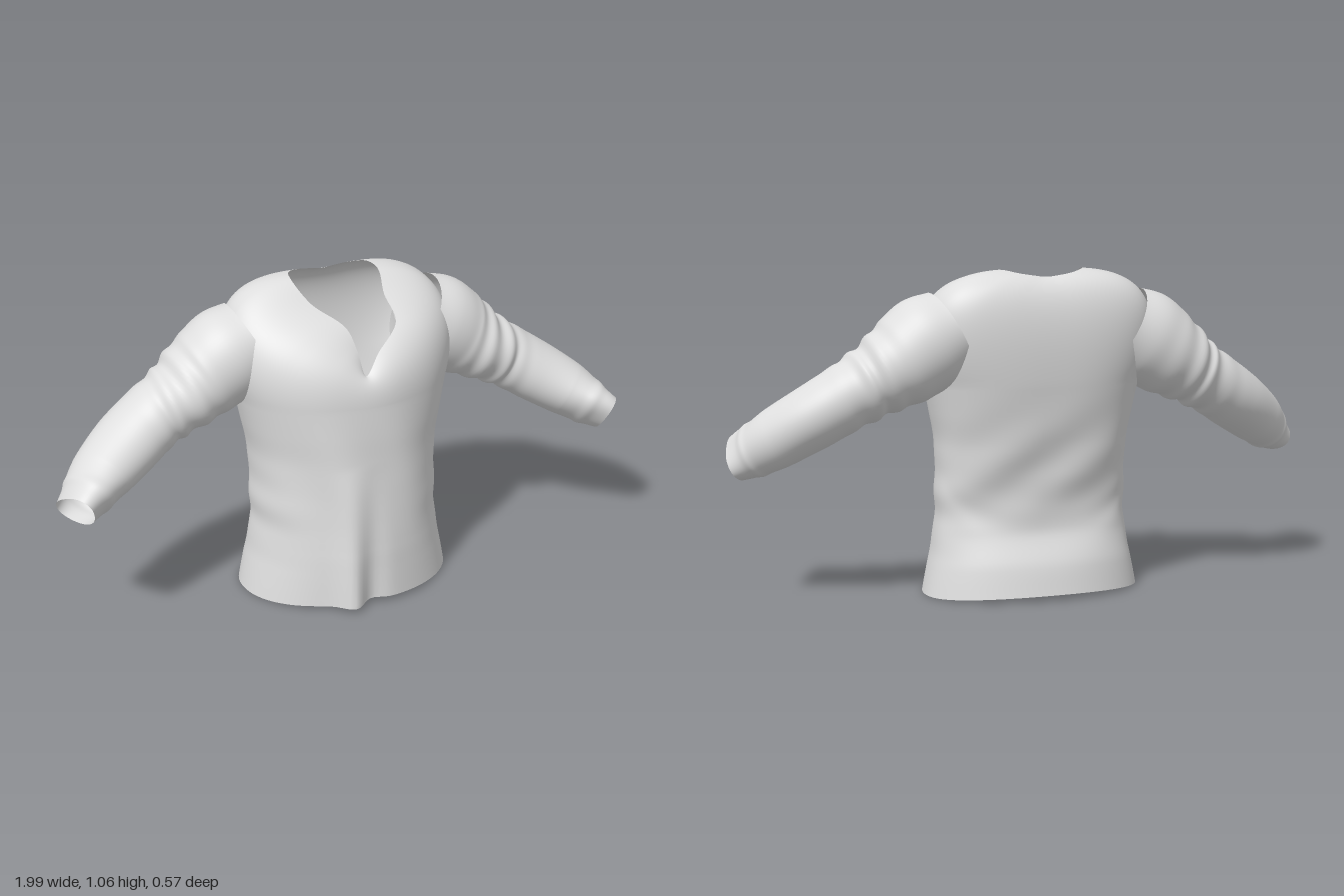
import * as THREE from 'three';

const V = (x, y, z) => new THREE.Vector3(x, y, z);
const bump = (d, w) => Math.exp(-(d * d) / (w * w));
const lerp = THREE.MathUtils.lerp;

// Surface closed around u, open along v, smooth normals
function loft(fn, nu, nv) {
  const pos = [], idx = [];
  for (let j = 0; j <= nv; j++)
    for (let i = 0; i < nu; i++) pos.push(...fn(i / nu, j / nv).toArray());
  for (let j = 0; j < nv; j++)
    for (let i = 0; i < nu; i++) {
      const k = (i + 1) % nu;
      const a = j * nu + i, b = j * nu + k, c = a + nu, d = b + nu;
      idx.push(a, b, d, a, d, c);
    }
  const g = new THREE.BufferGeometry();
  g.setAttribute('position', new THREE.Float32BufferAttribute(pos, 3));
  g.setIndex(idx);
  g.computeVertexNormals();
  return g;
}

// Body sizes every 0.1 of height: half width, front depth, back depth
const bodySizes = new THREE.CatmullRomCurve3([
  V(0.365, 0.25, 0.285), V(0.345, 0.25, 0.265), V(0.325, 0.248, 0.228), V(0.32, 0.242, 0.215),
  V(0.32, 0.235, 0.228), V(0.322, 0.228, 0.243), V(0.34, 0.224, 0.258), V(0.36, 0.219, 0.272),
]);

// Neck edge with open front slit, from front centre round by the left
const neckEdge = new THREE.CatmullRomCurve3([
  V(-0.01, 0.8, 0.178), V(0.045, 0.86, 0.15), V(0.128, 0.935, 0.1), V(0.132, 0.995, 0),
  V(0.15, 1.05, -0.09), V(0.135, 1.06, -0.15), V(0.09, 1.05, -0.19), V(0.045, 1.043, -0.2),
  V(0, 1.038, -0.2), V(-0.045, 1.043, -0.2), V(-0.09, 1.05, -0.19), V(-0.14, 1.06, -0.15),
  V(-0.155, 1.055, -0.09), V(-0.12, 0.995, -0.005), V(-0.04, 0.935, 0.085), V(-0.022, 0.87, 0.137),
], true);

const CHEST = 0.7, ZC = -0.05;

// Horizontal section of the body: round front, back squarer towards the chest
function bodyPoint(u, h) {
  const th = u * Math.PI * 2, s = Math.sin(th), c = Math.cos(th);
  const size = bodySizes.getPoint(h);
  const e = c >= 0 ? 1 : 2 / lerp(2.1, 2.7, h);
  const x = size.x * Math.sign(s) * Math.abs(s) ** e;
  const zr = Math.abs(c) ** e;
  let z = c >= 0 ? ZC + zr * (size.y - ZC) : ZC - zr * (size.z + ZC);
  const y = lerp(0.002 + 0.018 * c * c, CHEST, h);
  if (c > 0) {
    // long front fold and softer drapes
    const low = Math.max(0, 1 - y / 0.5);
    z += low * (0.044 * bump(x + 0.09, 0.045) - 0.02 * bump(x + 0.01, 0.04)) * c;
    z += 0.006 * c * bump(y - 0.42, 0.2) * Math.sin(x * 26 + y * 9);
  } else {
    // slanting creases above the back hem
    z += 0.008 * bump(y - (0.25 + 1.2 * (z + 0.2)), 0.04) * -c;
    z += 0.006 * c * bump(y - 0.42, 0.15) * Math.sin(x * 18 + y * 24);
  }
  const side = 1 + 0.012 * s * s * Math.sin(y * 42) * bump(y - 0.3, 0.15);
  return V(x * side, y, z);
}

function torsoPoint(u, v) {
  const split = 0.6;
  if (v <= split) return bodyPoint(u, v / split);
  // Curve from the chest over the shoulder to the neck edge
  const t = (v - split) / (1 - split);
  const p = bodyPoint(u, 1), q = neckEdge.getPoint(u);
  const th = u * Math.PI * 2, s2 = Math.sin(th) ** 2;
  const k = 1 + 0.24 * s2 + 0.06 * s2 * s2 + 0.16 * Math.max(0, -Math.cos(th));
  const m = V(p.x * k, lerp(CHEST, q.y, 0.92 + 0.04 * s2 * s2), ZC + (p.z - ZC) * k - 0.05 * s2);
  return new THREE.QuadraticBezierCurve3(p, m, q).getPoint(t);
}

// Sleeve sections from the armhole: x, y, z, half height, half depth
const sleeveSections = [
  [0.298, 0.868, -0.11, 0.138, 0.147],
  [0.375, 0.827, -0.11, 0.156, 0.158],
  [0.455, 0.772, -0.11, 0.143, 0.152],
  [0.55, 0.713, -0.097, 0.116, 0.14],
  [0.63, 0.668, -0.09, 0.107, 0.122],
  [0.73, 0.605, -0.06, 0.104, 0.122],
  [0.835, 0.538, -0.005, 0.097, 0.112],
  [0.9, 0.496, 0.043, 0.083, 0.097],
  [0.95, 0.464, 0.075, 0.066, 0.088],
];
const sleevePath = new THREE.CatmullRomCurve3(sleeveSections.map(r => V(r[0], r[1], r[2])));
const sleeveSize = new THREE.CatmullRomCurve3(sleeveSections.map(r => V(r[3], r[4], 0)));

function sleevePoint(u, v, side) {
  const f = side * u * Math.PI * 2;
  const c = sleevePath.getPoint(v), T = sleevePath.getTangent(v), r = sleeveSize.getPoint(v);
  const B = V(0, 1, 0).cross(T).normalize();
  const A = T.clone().cross(B);
  // bunched cloth rings near the elbow, plus a cuff ridge
  const d = c.x + 0.02 * Math.sin(f + 0.6);
  const w = 0.006 * Math.sin((d - 0.5) * 95) * bump(d - 0.55, 0.08)
    + 0.004 * bump(c.x - 0.9, 0.012) + 0.004 * Math.sin(3 * f + 14 * c.x) * bump(c.x - 0.93, 0.1);
  // the wrist opening drops towards the back
  const drop = 0.03 * THREE.MathUtils.smoothstep(v, 0.6, 1) * Math.cos(f);
  const p = c.addScaledVector(B, (r.y + w) * Math.cos(f)).addScaledVector(A, (r.x + w) * Math.sin(f) - drop);
  p.x *= side;
  return p;
}

export function createModel() {
  const cloth = new THREE.MeshStandardMaterial({ color: 0xdedede, side: THREE.DoubleSide });
  cloth.name = 'lightGreyCloth';
  const group = new THREE.Group();
  group.name = 'shirt';
  const add = (name, geo) => {
    const mesh = new THREE.Mesh(geo, cloth);
    mesh.name = name;
    group.add(mesh);
  };
  add('torso', loft(torsoPoint, 128, 80));
  add('leftSleeve', loft((u, v) => sleevePoint(u, v, 1), 56, 100));
  add('rightSleeve', loft((u, v) => sleevePoint(u, v, -1), 56, 100));
  return group;
}
